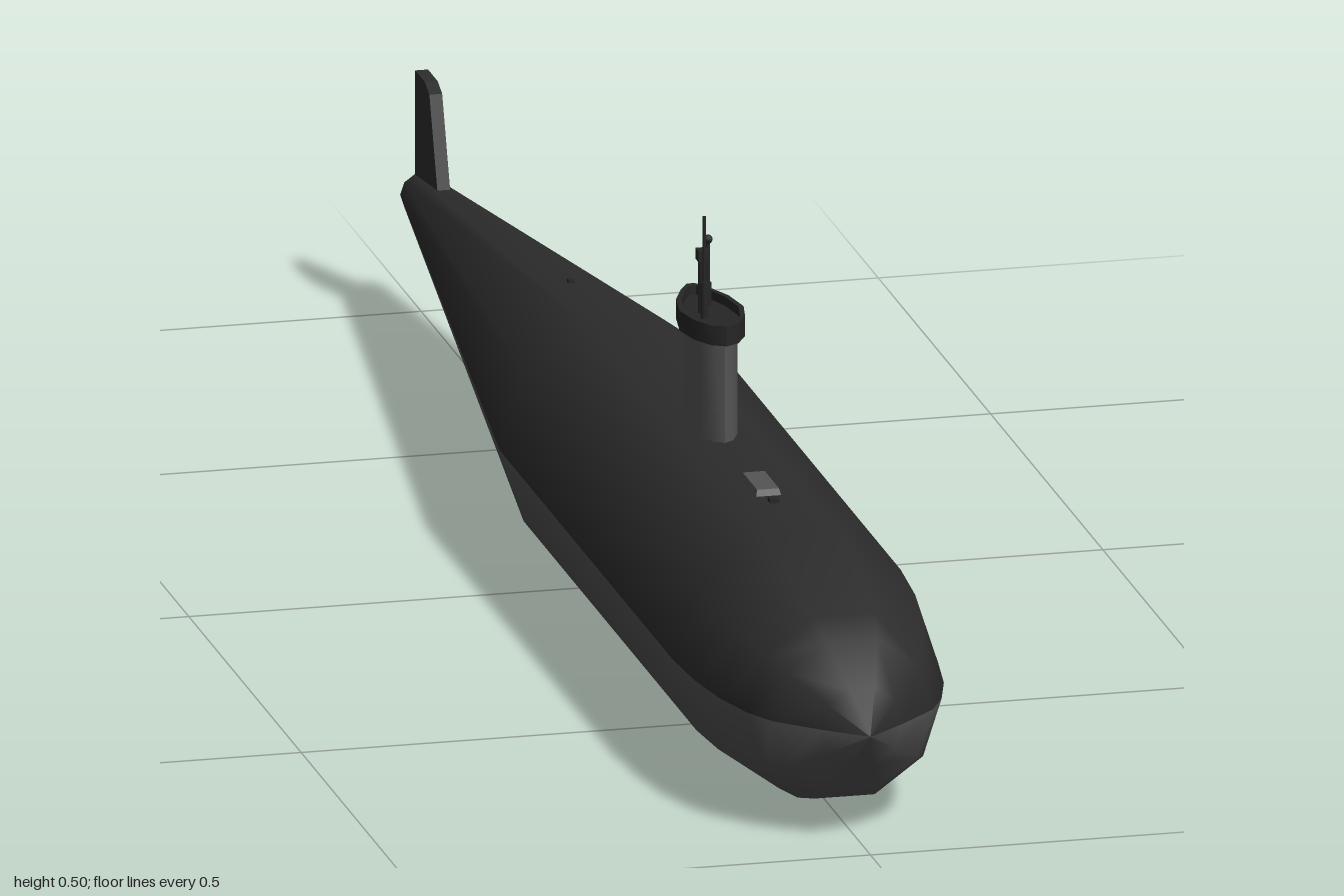
import * as THREE from 'three';
import { toCreasedNormals } from 'three/addons/utils/BufferGeometryUtils.js';

const AXIS = 0.132;
const paint = (name, color) => {
  const m = new THREE.MeshStandardMaterial({ color });
  m.name = name;
  return m;
};

// Streamlined outline in plan: rounded bow, pointed stern (shape y = -z)
function leafPoints(w, front, back) {
  const half = [[0, 0], [0.42, 0.05], [0.8, 0.2], [1, 0.42], [0.82, 0.68], [0.45, 0.88], [0.12, 1]];
  const at = ([x, t], s) => new THREE.Vector2(s * x * w, -(front + (back - front) * t));
  return [...half.map(p => at(p, 1)), ...half.slice(1).reverse().map(p => at(p, -1))];
}

function leafPrism(w, front, back, y0, y1, hole) {
  const shape = new THREE.Shape(leafPoints(w, front, back));
  if (hole) shape.holes.push(new THREE.Path(leafPoints(w - hole, front - hole, back + hole * 1.5)));
  const g = new THREE.ExtrudeGeometry(shape, { depth: y1 - y0, bevelEnabled: false });
  g.rotateX(-Math.PI / 2).translate(0, y0, 0);
  return toCreasedNormals(g, 0.8);
}

export function createModel() {
  const group = new THREE.Group();
  const upper = paint('upper hull black', 0x2d2d2d);
  const lower = paint('lower hull grey', 0x505050);
  const sailGrey = paint('sail grey', 0x555555);
  const dark = paint('dark fittings', 0x262626);

  const add = (name, geometry, material, x = 0, y = 0, z = 0) => {
    const mesh = new THREE.Mesh(geometry, material);
    mesh.name = name;
    mesh.position.set(x, y, z);
    group.add(mesh);
    return mesh;
  };

  // Ten-sided hull, split at the waterline into two half lathes
  const profile = [[0.023, -1], [0.138, -0.09], [0.138, 0.68], [0.133, 0.76],
    [0.122, 0.83], [0.106, 0.885], [0.088, 0.92], [0.045, 0.962], [0, 1]]
    .map(([r, z]) => new THREE.Vector2(r, z));
  const halfHull = start => new THREE.LatheGeometry(profile, 5, start, Math.PI).rotateX(Math.PI / 2);
  add('upperHull', halfHull(Math.PI / 2), upper, 0, AXIS);
  add('lowerHull', halfHull(-Math.PI / 2), lower, 0, AXIS);

  // Tail end plate with dark shaft opening
  const plate = r => new THREE.CircleGeometry(r, 10).rotateY(Math.PI);
  add('tailPlate', plate(0.023), lower, 0, AXIS, -1);
  add('shaftOpening', plate(0.012), dark, 0, AXIS, -1.0005);

  // Swept upright rudder, extruded sideways
  const finShape = new THREE.Shape([[0.89, 0.14], [0.998, 0.14], [0.998, 0.27], [0.955, 0.27], [0.935, 0.262]]
    .map(p => new THREE.Vector2(...p)));
  const fin = new THREE.ExtrudeGeometry(finShape, { depth: 0.014, bevelEnabled: false });
  fin.rotateY(Math.PI / 2).translate(-0.007, 0, 0);
  add('rudder', fin, upper);

  // Sail with overhanging bridge rim and sunken floor
  add('sail', leafPrism(0.026, 0.352, 0.208, 0.25, 0.374), sailGrey);
  add('bridgeRim', leafPrism(0.035, 0.36, 0.2, 0.373, 0.395, 0.006), dark);
  add('bridgeFloor', leafPrism(0.031, 0.357, 0.205, 0.3735, 0.385), dark);
  add('sailLamp', new THREE.BoxGeometry(0.008, 0.022, 0.012), dark, 0.027, 0.364, 0.27);
  add('sternRail', new THREE.CylinderGeometry(0.0015, 0.0015, 0.125, 6), dark, 0, 0.318, 0.204);

  // Masts: [name, x, z, radius, top]
  for (const [name, x, z, r, top] of [
    ['tallPeriscope', -0.008, 0.293, 0.002, 0.498],
    ['periscopeSleeve', -0.008, 0.293, 0.004, 0.425],
    ['snorkelMast', -0.005, 0.272, 0.005, 0.445],
    ['radarMast', 0.007, 0.248, 0.0022, 0.457],
    ['radarSleeve', 0.007, 0.248, 0.004, 0.41],
  ]) {
    add(name, new THREE.CylinderGeometry(r, r, top - 0.38, 8), dark, x, (top + 0.38) / 2, z);
  }
  add('snorkelHead', new THREE.BoxGeometry(0.012, 0.012, 0.014), dark, -0.005, 0.449, 0.272);
  add('radarBall', new THREE.SphereGeometry(0.005, 10, 8), dark, 0.007, 0.458, 0.248);

  // Foredeck housing with a sloped bow end
  const deckHousing = new THREE.BoxGeometry(0.03, 0.012, 0.075);
  const p = deckHousing.attributes.position;
  for (let i = 0; i < p.count; i++) {
    if (p.getY(i) > 0) {
      p.setX(i, p.getX(i) * 0.8);
      p.setZ(i, p.getZ(i) * 0.85);
    }
  }
  deckHousing.computeVertexNormals();
  add('deckHousing', deckHousing, sailGrey, 0, 0.264, 0.512);
  add('deckCleat', new THREE.BoxGeometry(0.01, 0.008, 0.012), dark, 0, 0.264, 0.568);

  // Small deck fittings
  add('sideFitting', new THREE.BoxGeometry(0.008, 0.006, 0.008), dark, 0.05, 0.259, 0.1);
  add('aftFitting', new THREE.BoxGeometry(0.006, 0.012, 0.006), dark, 0, 0.232, -0.335);

  return group;
}
